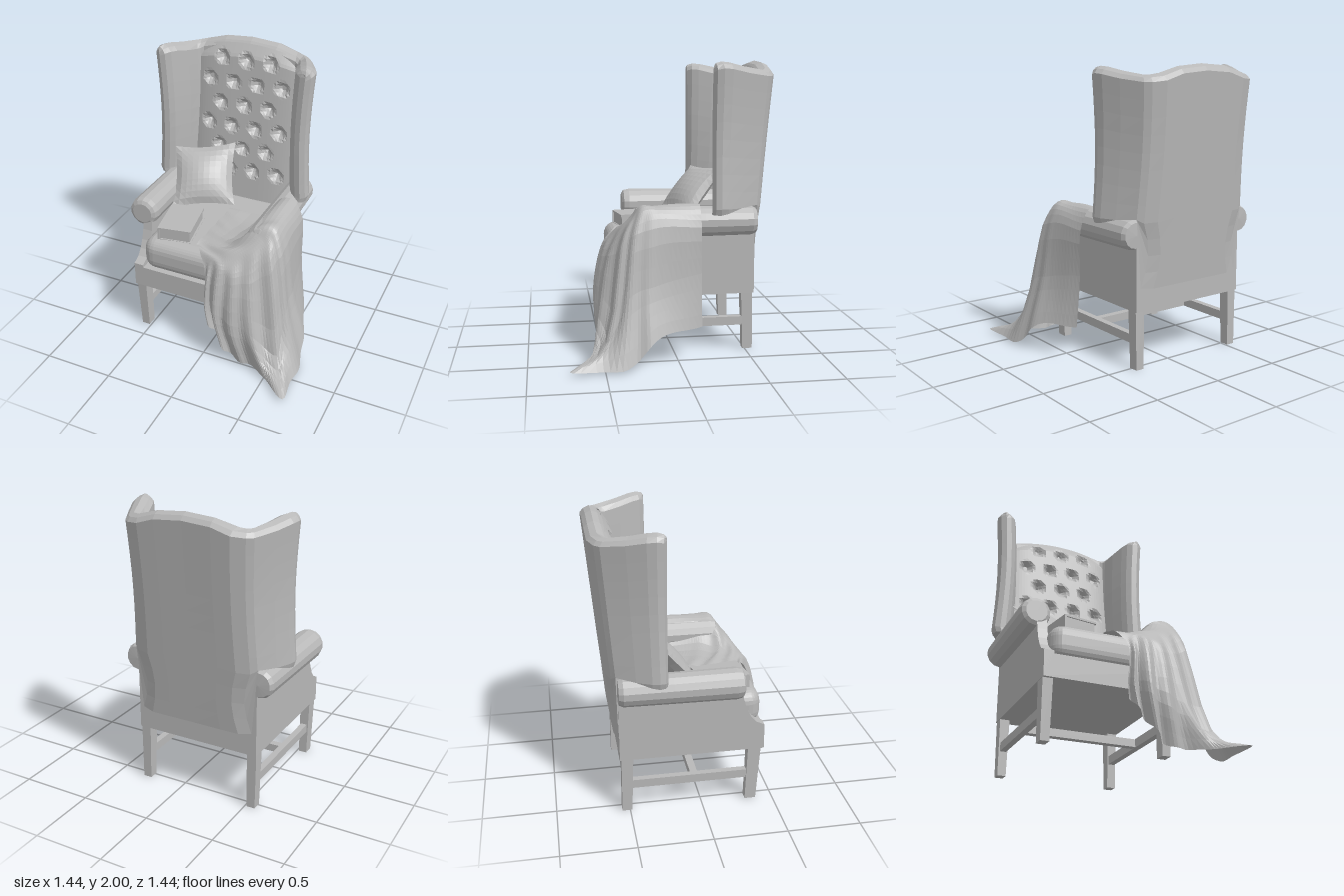
import * as THREE from 'three';
import { RoundedBoxGeometry } from 'three/addons/geometries/RoundedBoxGeometry.js';

const V = (x, y, z) => new THREE.Vector3(x, y, z);
const fabric = new THREE.MeshStandardMaterial({ color: 0xb8b8b8, flatShading: true, side: THREE.DoubleSide });
fabric.name = 'grey fabric';

function mesh(name, geometry, parent, x = 0, y = 0, z = 0) {
  const m = new THREE.Mesh(geometry, fabric);
  m.name = name;
  m.position.set(x, y, z);
  parent.add(m);
  return m;
}

// Surface patch from a function of (u, v), both 0..1
function patch(nu, nv, fn) {
  const pos = [], idx = [];
  for (let i = 0; i <= nu; i++) {
    for (let j = 0; j <= nv; j++) {
      pos.push(...fn(i / nu, j / nv).toArray());
      if (i < nu && j < nv) {
        const a = i * (nv + 1) + j, b = a + nv + 1;
        idx.push(a, b, a + 1, b, b + 1, a + 1);
      }
    }
  }
  const g = new THREE.BufferGeometry();
  g.setAttribute('position', new THREE.Float32BufferAttribute(pos, 3));
  g.setIndex(idx);
  g.computeVertexNormals();
  return g;
}

// Winged back: stations from the middle to the wing tip
// [outer x, outer z, inner x, inner z, top y, bottom y]
const stations = [
  [0, -0.71, 0, -0.58, 2.0, 0.55],
  [0.2, -0.712, 0.2, -0.58, 1.985, 0.55],
  [0.33, -0.71, 0.36, -0.57, 1.945, 0.55],
  [0.42, -0.675, 0.38, -0.555, 1.935, 0.56],
  [0.46, -0.64, 0.39, -0.53, 1.935, 1.02],
  [0.535, -0.49, 0.415, -0.43, 1.955, 1.01],
  [0.585, -0.37, 0.45, -0.33, 1.98, 0.98],
  [0.595, -0.31, 0.475, -0.28, 1.985, 0.97],
  [0.585, -0.265, 0.51, -0.25, 1.975, 0.97],
  [0.55, -0.243, 0.55, -0.243, 1.955, 0.97],
];
function backShell() {
  const path = [...stations.slice(1).reverse().map(([a, b, c, ...r]) => [-a, b, -c, ...r]), ...stations];
  const n = path.length - 1, levels = 12;
  // across: up the outside, over the rounded top, down the inside, back underneath
  const across = [];
  for (let k = 0; k <= levels; k++) across.push([0, k / levels]);
  across.push([0.2, 1.025], [0.5, 1.04], [0.8, 1.025]);
  for (let k = levels; k >= 0; k--) across.push([1, k / levels]);
  across.push([0, 0]);
  return patch(n, across.length - 1, (u, v) => {
    const [ox, oz, ix, iz, top, bottom] = path[Math.round(u * n)];
    const [t, h] = across[Math.round(v * (across.length - 1))];
    // levels line up along the back; the wings stop at the arms
    const y = h <= 1 ? Math.max(bottom, 0.55 + (top - 0.595) * h) : top - 0.045 + (h - 1) * 1.12;
    let x = ox + (ix - ox) * t, z = oz + (iz - oz) * t;
    z += (1.92 - y) * 0.09 * Math.max(0, (-z - 0.25) / 0.46);
    x *= 1 - 0.04 * Math.sin(Math.PI * Math.min(1, Math.max(0, (1.95 - y) / 0.95)));
    if (y < 1) x *= 1 - 0.12 * Math.sin((1 - y) / 0.45 * Math.PI);
    return V(x, y, z);
  });
}

// Tufted front of the back, with button dents in staggered rows
function tuftedPanel() {
  const dents = [];
  for (let r = 0; r < 6; r++) {
    const count = r % 2 ? 4 : 3;
    for (let c = 0; c < count; c++) dents.push([(c - (count - 1) / 2) * 0.187, 1.86 - r * 0.168]);
  }
  return patch(36, 54, (u, v) => {
    const x = -0.385 + 0.77 * u;
    const top = 1.97 - 0.06 * (x / 0.385) ** 2;
    const y = 0.78 + (top - 0.78) * v;
    let z = -0.535 + (1.95 - y) * 0.1 - 0.03 * Math.abs(x / 0.385) ** 4;
    z -= 0.05 * Math.max(0, (v - 0.93) / 0.07);
    for (const [dx, dy] of dents) {
      z -= 0.065 * Math.max(0, 1 - Math.hypot(x - dx, y - dy) / 0.055);
    }
    return V(x, y, z);
  });
}

// Pillow half stretched between four corners, bulging to one side
function pillowHalf(side) {
  const tl = V(-0.59, 1.2, -0.27), tr = V(-0.18, 1.23, -0.46), br = V(-0.06, 0.87, -0.17), bl = V(-0.48, 0.85, 0.02);
  const normal = br.clone().sub(bl).cross(tl.clone().sub(bl)).normalize();
  return patch(10, 10, (u, v) => {
    const a = u * 2 - 1, b = v * 2 - 1;
    const pu = 0.5 + a * (1 - 0.1 * (1 - b * b)) / 2, pv = 0.5 + b * (1 - 0.1 * (1 - a * a)) / 2;
    const p = bl.clone().lerp(br, pu).lerp(tl.clone().lerp(tr, pu), pv);
    return p.addScaledVector(normal, side * 0.085 * Math.pow((1 - a * a) * (1 - b * b), 0.7));
  });
}

// Blanket: each column runs from the seat, over the arm or seat front, down to the hem
const columns = [
  [0.2, 0.85, -0.17, 0.3, 1.02, -0.17, 0.41, 1.03, -0.16, 0.475, 0.93, -0.16, 0.49, 0.55, -0.16, 0.52, 0.24, -0.16],
  [0.18, 0.87, 0.08, 0.3, 1.02, 0.12, 0.41, 1.035, 0.13, 0.485, 0.93, 0.14, 0.55, 0.5, 0.14, 0.63, 0.2, 0.13],
  [0.15, 0.86, 0.18, 0.3, 1.02, 0.22, 0.41, 1.02, 0.24, 0.485, 0.9, 0.28, 0.57, 0.42, 0.32, 0.69, 0.025, 0.36],
  [0.12, 0.86, 0.25, 0.28, 0.98, 0.275, 0.38, 0.94, 0.31, 0.43, 0.8, 0.37, 0.56, 0.13, 0.5, 0.68, 0.02, 0.71],
  [0.1, 0.85, 0.29, 0.21, 0.89, 0.34, 0.27, 0.84, 0.39, 0.3, 0.72, 0.45, 0.36, 0.28, 0.52, 0.44, 0.025, 0.53],
  [0.05, 0.84, 0.33, 0.12, 0.84, 0.39, 0.15, 0.78, 0.45, 0.17, 0.68, 0.49, 0.18, 0.36, 0.54, 0.24, 0.03, 0.5],
  [-0.02, 0.82, 0.35, 0.03, 0.81, 0.4, 0.05, 0.77, 0.44, 0.05, 0.66, 0.48, 0.05, 0.42, 0.5, 0.1, 0.19, 0.49],
  [-0.09, 0.82, 0.36, -0.06, 0.8, 0.4, -0.02, 0.74, 0.43, 0, 0.65, 0.455, -0.015, 0.46, 0.46, -0.01, 0.32, 0.46],
];
function blanket() {
  const curves = columns.map((c, i) => {
    const pts = [V(-0.09 - 0.004 * i, 0.84 - 0.002 * i, -0.17 + 0.073 * i)];
    for (let k = 0; k < c.length; k += 3) pts.push(V(c[k], c[k + 1], c[k + 2]));
    return new THREE.CatmullRomCurve3(pts, false, 'centripetal');
  });
  const cache = {};
  return patch(64, 22, (u, v) => {
    const across = cache[v] ??= new THREE.CatmullRomCurve3(curves.map(c => c.getPoint(v)), false, 'centripetal');
    const p = across.getPoint(u);
    // hanging folds deepen towards the hem
    const depth = 0.023 * Math.max(0, (v - 0.45) / 0.55) * Math.min(1, Math.max(0.1, (u - 0.1) * 4));
    const fold = depth * (Math.sin(u * 50 + 0.8 * Math.sin(v * 5)) + 0.5 * Math.sin(u * 33 + 1));
    const out = V(p.x - 0.1, 0, p.z - 0.05).normalize();
    p.addScaledVector(out, fold);
    p.y = Math.max(0.012, p.y + 0.006 * Math.sin(u * 23 + v * 17));
    return p;
  });
}

export function createModel() {
  const root = new THREE.Group();
  root.name = 'wingArmchair';
  const chair = new THREE.Group();
  chair.name = 'chair';
  chair.position.x = -0.13;
  root.add(chair);

  // Back
  mesh('wingedBack', backShell(), chair);
  mesh('tuftedPanel', tuftedPanel(), chair);

  // Seat
  mesh('seatFrame', new THREE.BoxGeometry(0.9, 0.16, 0.99), chair, 0, 0.48, -0.065);
  mesh('seatCushion', new RoundedBoxGeometry(0.78, 0.25, 0.92, 3, 0.09), chair, 0, 0.67, -0.035);
  mesh('backRail', new THREE.BoxGeometry(0.86, 0.4, 0.1), chair, 0, 0.65, -0.51);

  // Side panel outline in z and y, with a low front corner and a post curving up under the arm
  const side = new THREE.Shape();
  side.moveTo(-0.56, 0.4);
  side.lineTo(0.43, 0.4);
  side.lineTo(0.43, 0.58);
  side.lineTo(0.37, 0.61);
  side.quadraticCurveTo(0.29, 0.68, 0.265, 0.88);
  side.lineTo(-0.56, 0.9);
  const panelGeo = new THREE.ExtrudeGeometry(side, { depth: 0.07, bevelEnabled: false, curveSegments: 4 });
  panelGeo.rotateY(-Math.PI / 2); // z runs forward, thickness towards -x

  // Rolled arm with a soft rounded front
  const roll = new THREE.LatheGeometry([
    [0, -0.565], [0.085, -0.56], [0.1, -0.53], [0.104, -0.2], [0.108, 0.22], [0.1, 0.26], [0.075, 0.275], [0, 0.275],
  ].map(([r, h]) => new THREE.Vector2(r, h)), 14);
  roll.rotateX(Math.PI / 2);

  // Leg tapering to the foot
  const legGeo = (depth, lean) => {
    const g = new THREE.BoxGeometry(0.07, 0.42, depth);
    const p = g.attributes.position;
    for (let i = 0; i < p.count; i++) {
      if (p.getY(i) < 0) p.setXYZ(i, p.getX(i) * 0.85, p.getY(i), p.getZ(i) * 0.85 + lean);
    }
    return g;
  };

  for (const s of [-1, 1]) {
    const tag = s < 0 ? 'right' : 'left';
    mesh(tag + 'SidePanel', panelGeo, chair, s < 0 ? -0.38 : 0.45);
    mesh(tag + 'Arm', roll, chair, s * 0.455, 0.915, 0);
    mesh(tag + 'FrontLeg', legGeo(0.09, -0.02), chair, s * 0.413, 0.21, 0.365);
    mesh(tag + 'BackLeg', legGeo(0.08, -0.01), chair, s * 0.413, 0.21, -0.51);
    mesh(tag + 'Stretcher', new THREE.BoxGeometry(0.045, 0.06, 0.85), chair, s * 0.413, 0.2, -0.07);
  }
  mesh('crossStretcher', new THREE.BoxGeometry(0.8, 0.055, 0.05), chair, 0, 0.2, -0.05);

  // Pillow
  const pillow = new THREE.Group();
  pillow.name = 'pillow';
  root.add(pillow);
  mesh('pillowFront', pillowHalf(1), pillow);
  mesh('pillowBack', pillowHalf(-1), pillow);

  // Book
  const book = new THREE.Group();
  book.name = 'book';
  book.position.set(-0.325, 0.835, 0.17);
  book.rotation.y = 0.17;
  root.add(book);
  mesh('pages', new THREE.BoxGeometry(0.22, 0.08, 0.32), book);
  for (const y of [-0.045, 0.045]) mesh('cover', new THREE.BoxGeometry(0.245, 0.014, 0.34), book, 0, y, 0);
  mesh('spine', new THREE.BoxGeometry(0.014, 0.09, 0.34), book, -0.117, 0, 0);

  // Blanket over the left arm
  mesh('blanket', blanket(), root);
  return root;
}
